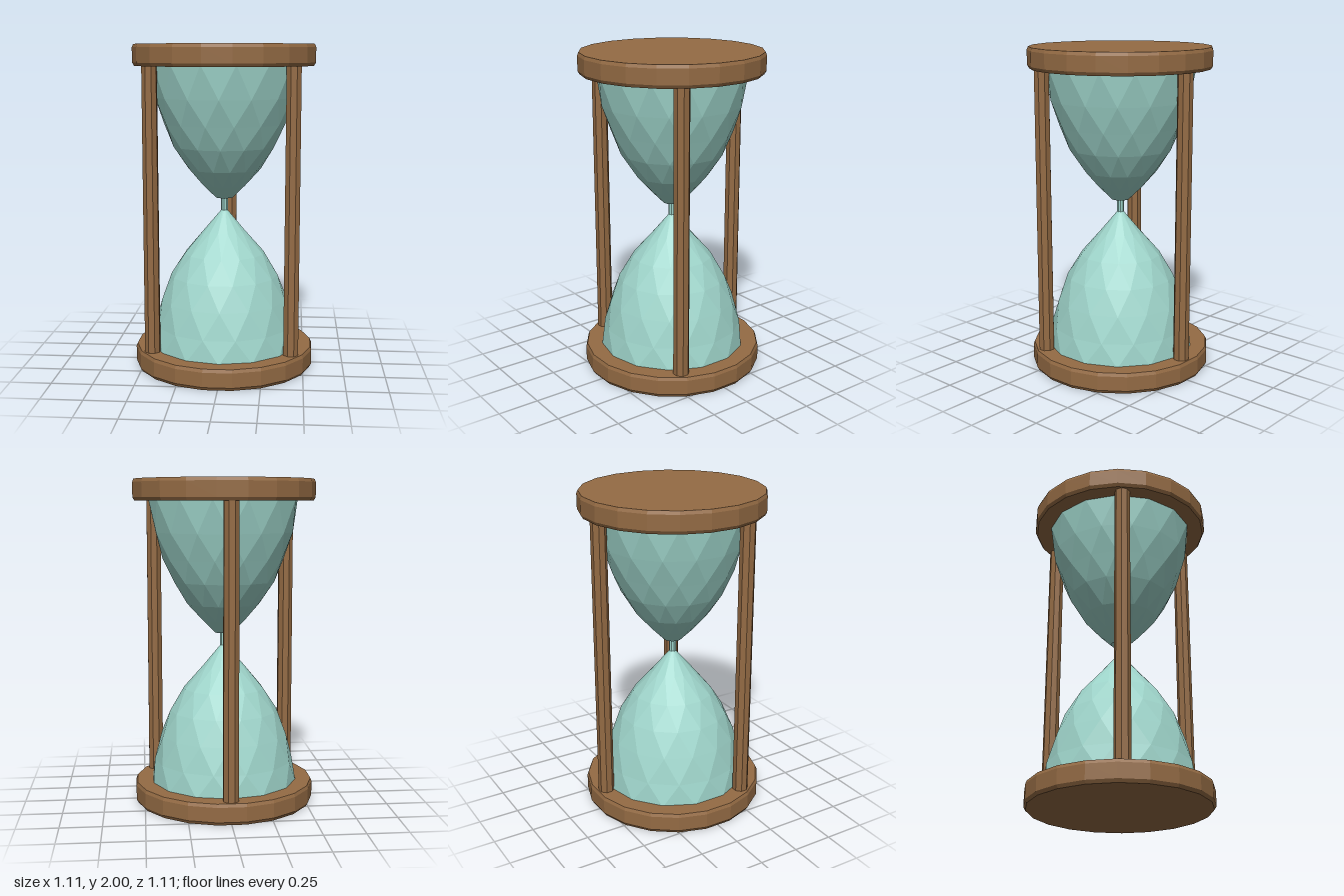
import * as THREE from 'three';

export function createModel() {
  const group = new THREE.Group();
  const wood = new THREE.MeshStandardMaterial({ color: 0x946b44, flatShading: true });
  wood.name = 'warm wood';
  const glass = new THREE.MeshStandardMaterial({ color: 0x9fd5cb, flatShading: true });
  glass.name = 'pale teal glass';

  function add(name, geometry, material, x = 0, y = 0, z = 0) {
    const mesh = new THREE.Mesh(geometry, material);
    mesh.name = name;
    mesh.position.set(x, y, z);
    group.add(mesh);
    return mesh;
  }

  // Round end plates with a slight bevel on the rims
  const plateProfile = [[0, 0], [0.548, 0], [0.56, 0.02], [0.56, 0.11], [0.552, 0.13], [0, 0.13]]
    .map(([r, y]) => new THREE.Vector2(r, y));
  const plate = new THREE.LatheGeometry(plateProfile, 20, Math.PI / 20);
  add('bottomPlate', plate, wood);
  add('topPlate', plate, wood, 0, 1.87, 0);

  // Three faceted posts, one at the back and two towards the front
  const post = new THREE.CylinderGeometry(0.047, 0.049, 1.78, 8);
  post.rotateY(Math.PI / 8);
  for (let i = 0; i < 3; i++) {
    const a = Math.PI + i * Math.PI * 2 / 3;
    add(['backPost', 'leftPost', 'rightPost'][i], post, wood,
      Math.sin(a) * 0.49, 1, Math.cos(a) * 0.49);
  }

  // Low-poly bulbs: rings staggered by half a step give triangular facets
  function bulb(rings, sides) {
    const positions = [];
    const point = (k, i) => {
      const [r, y] = rings[k];
      const a = (i + (k % 2) * 0.5) / sides * Math.PI * 2;
      return [Math.sin(a) * r, y, Math.cos(a) * r];
    };
    for (let k = 0; k < rings.length - 1; k++) {
      for (let i = 0; i < sides; i++) {
        const a = point(k, i), b = point(k, i + 1);
        const c = point(k + 1, i), d = point(k + 1, i + 1);
        if (k % 2) positions.push(...a, ...b, ...d, ...a, ...d, ...c);
        else positions.push(...a, ...b, ...c, ...b, ...d, ...c);
      }
    }
    const geometry = new THREE.BufferGeometry();
    geometry.setAttribute('position', new THREE.Float32BufferAttribute(positions, 3));
    geometry.computeVertexNormals();
    return geometry;
  }
  add('lowerBulb', bulb([[0.458, 0.12], [0.435, 0.26], [0.395, 0.42], [0.335, 0.57],
    [0.25, 0.71], [0.13, 0.85], [0.02, 0.98]], 14), glass);
  add('upperBulb', bulb([[0.02, 1.055], [0.055, 1.06], [0.135, 1.14], [0.225, 1.24],
    [0.315, 1.38], [0.375, 1.52], [0.425, 1.68], [0.458, 1.88]], 14), glass);

  // Narrow neck joining the bulbs
  add('neck', new THREE.CylinderGeometry(0.021, 0.021, 0.1, 8), glass, 0, 1.015, 0);

  return group;
}
